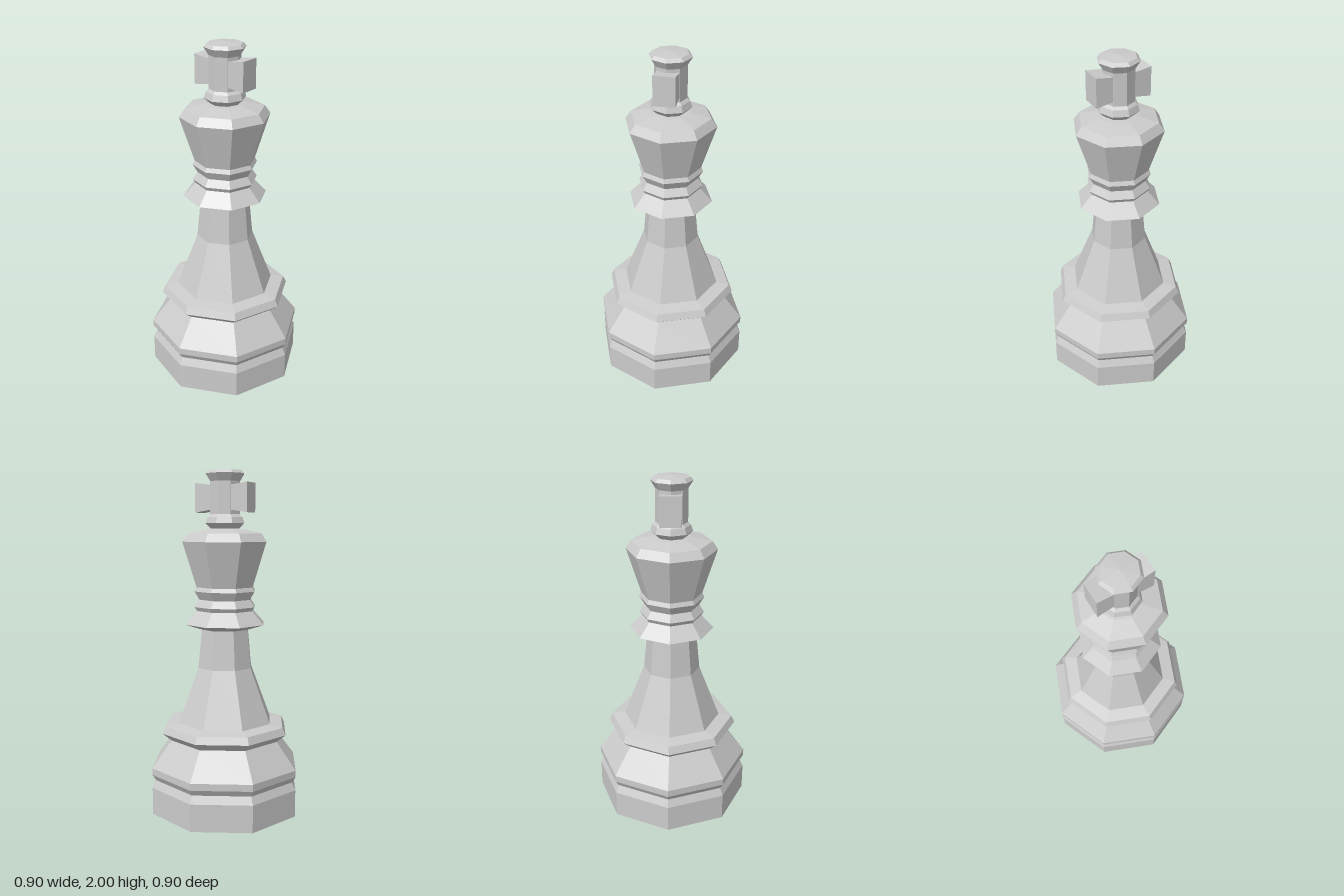
import * as THREE from 'three';

const SIDES = 8;

export function createModel() {
  const group = new THREE.Group();
  group.name = 'chessKing';
  const material = new THREE.MeshStandardMaterial({ color: 0xcccccc, flatShading: true });

  // Eight-sided turned section from [radius, height] pairs, bottom to top
  function turned(name, profile) {
    const points = profile.map(([r, y]) => new THREE.Vector2(r, y));
    const mesh = new THREE.Mesh(new THREE.LatheGeometry(points, SIDES), material);
    mesh.name = name;
    group.add(mesh);
  }

  // Stepped base with its upper rim
  turned('base', [
    [0, 0], [0.452, 0], [0.452, 0.16], [0.43, 0.205], [0.452, 0.24], [0.452, 0.28],
    [0.333, 0.437], [0.387, 0.483], [0.367, 0.525], [0.288, 0.538],
  ]);

  // Tapered stem
  turned('stem', [[0.288, 0.538], [0.165, 0.86], [0.143, 1.09]]);

  // Wide collar and the two small rings above it
  turned('collar', [
    [0.143, 1.085], [0.243, 1.118], [0.172, 1.195], [0.186, 1.218],
    [0.158, 1.26], [0.186, 1.308], [0.174, 1.332],
  ]);

  // Flared head with a sloping top
  turned('head', [[0.174, 1.332], [0.257, 1.592], [0.225, 1.638], [0.12, 1.66], [0.085, 1.664]]);

  // Finial: lower ring, post and cap
  turned('finial', [
    [0.085, 1.664], [0.118, 1.695], [0.106, 1.73], [0.09, 1.745], [0.09, 1.93],
    [0.117, 1.973], [0.1, 1.991], [0, 2],
  ]);

  // Cross arms, slightly taller at their outer ends
  const armShape = new THREE.Shape([
    [0, 1.768], [0.08, 1.768], [0.162, 1.755], [0.162, 1.922], [0.08, 1.91], [0, 1.91],
  ].map(([z, y]) => new THREE.Vector2(z, y)));
  const armGeometry = new THREE.ExtrudeGeometry(armShape, { depth: 0.12, bevelEnabled: false });
  armGeometry.translate(0, 0, -0.06);
  for (const side of [1, -1]) {
    const arm = new THREE.Mesh(armGeometry, material);
    arm.rotation.y = -side * Math.PI / 2;
    arm.name = side > 0 ? 'frontCrossArm' : 'backCrossArm';
    group.add(arm);
  }

  return group;
}
